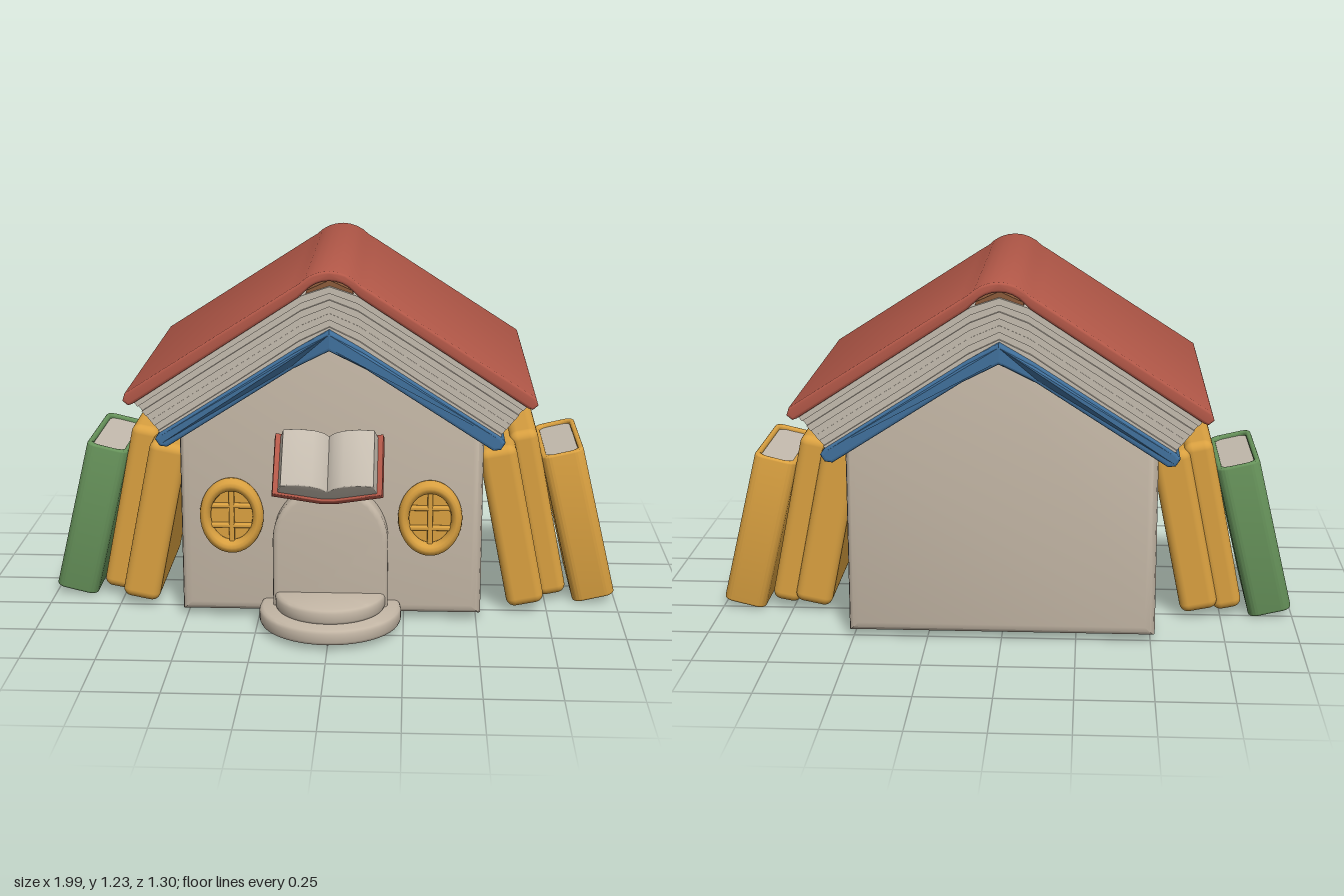
import * as THREE from 'three';
import { toCreasedNormals } from 'three/addons/utils/BufferGeometryUtils.js';
import { RoundedBoxGeometry } from 'three/addons/geometries/RoundedBoxGeometry.js';

const COLORS = {
  plaster: 0xc2b5a4, paper: 0xc4bbae, roofRed: 0xb35848, coverBlue: 0x40709c,
  golden: 0xd9a040, coverGreen: 0x66925a, wood: 0x8a5a3a,
};

export function createModel() {
  const root = new THREE.Group();
  root.name = 'bookHouse';
  const M = {};
  for (const [name, hex] of Object.entries(COLORS)) {
    M[name] = new THREE.MeshStandardMaterial({ color: hex });
    M[name].name = name;
  }

  const add = (name, geometry, material, parent = root) => {
    const mesh = new THREE.Mesh(geometry, material);
    mesh.name = name;
    parent.add(mesh);
    return mesh;
  };
  const poly = (pts) => new THREE.Shape(pts.map(([x, y]) => new THREE.Vector2(x, y)));
  // Extrude a shape from z0 to z1 with softened edges that stay inside the outline
  const slab = (shape, z0, z1, bevel = 0) => {
    const g = new THREE.ExtrudeGeometry(shape, {
      depth: z1 - z0 - 2 * bevel, bevelEnabled: bevel > 0, bevelSize: bevel,
      bevelThickness: bevel, bevelOffset: -bevel, bevelSegments: 3, curveSegments: 20,
    });
    g.translate(0, 0, z0 + bevel);
    return toCreasedNormals(g, 0.7);
  };
  // Complete a right-hand half outline (listed bottom to top) with its mirror image
  const mirrored = (right) => [
    ...right, ...right.filter(([x]) => x > 0).reverse().map(([x, y]) => [-x, y]),
  ];
  const arch = (Type, w, y0, yc) => {
    const s = new Type();
    s.moveTo(-w, y0);
    s.lineTo(w, y0);
    s.lineTo(w, yc);
    s.absarc(0, yc, w, 0, Math.PI, false);
    s.lineTo(-w, y0);
    return s;
  };
  const roundRect = (Type, w, h, r) => {
    const s = new Type(), x = w / 2, y = h / 2;
    s.moveTo(-x + r, -y);
    s.lineTo(x - r, -y);
    s.absarc(x - r, -y + r, r, -Math.PI / 2, 0, false);
    s.lineTo(x, y - r);
    s.absarc(x - r, y - r, r, 0, Math.PI / 2, false);
    s.lineTo(-x + r, y);
    s.absarc(-x + r, y - r, r, Math.PI / 2, Math.PI, false);
    s.lineTo(-x, -y + r);
    s.absarc(-x + r, -y + r, r, Math.PI, Math.PI * 1.5, false);
    return s;
  };

  // House walls
  add('houseWalls', slab(poly([[-0.515, 0.025], [0.515, 0.025], [0.515, 0.7], [0, 1.02], [-0.515, 0.7]]),
    -0.53, 0.36, 0.035), M.plaster);

  // Roof: red outer cover with a rounded spine
  const spine = (r, yc, from) => Array.from({ length: 9 }, (_, i) => {
    const a = from + (Math.PI - 2 * from) * i / 8;
    return [r * Math.cos(a), yc + r * Math.sin(a)];
  });
  const outer = [[0.665, 0.785], [0.683, 0.8], [0.675, 0.825], [0.13, 1.175], ...spine(0.135, 1.102, 0.75),
    [-0.13, 1.175], [-0.675, 0.825], [-0.683, 0.8], [-0.665, 0.785]];
  const inner = [[-0.65, 0.79], [-0.1, 1.15], ...spine(0.105, 1.1, 0.75).reverse(), [0.1, 1.15], [0.65, 0.79]];
  add('roofCover', slab(poly([...outer, ...inner]), -0.63, 0.47, 0.008), M.roofRed);
  add('spineLining', slab(poly([[-0.09, 1.1], [0.09, 1.1], [0.075, 1.17], [0, 1.204], [-0.075, 1.17]]),
    -0.6, 0.44), M.wood);

  // Roof pages, stacked in layers of slightly different depth
  const low = [[0, 1.03], [0.1, 0.98], [0.3, 0.845], [0.555, 0.68]];
  const high = [[0, 1.185], [0.09, 1.155], [0.35, 0.99], [0.648, 0.795]];
  const mix = (t) => low.map(([x, y], i) => [x + (high[i][0] - x) * t, y + (high[i][1] - y) * t]);
  const layers = 7;
  for (const s of [-1, 1]) {
    for (let i = 0; i < layers; i++) {
      const inset = (i % 2) * 0.008 + (i % 3) * 0.003;
      const pts = [...mix(i / layers), ...mix((i + 1) / layers).reverse()].map(([x, y]) => [s * x, y]);
      add('roofPages', slab(poly(pts), -0.615 + inset, 0.455 - inset), M.paper);
    }
  }

  // Blue lower cover, its ridge pushed out at both ends
  const blue = slab(poly([[0, 0.978], [0.12, 0.912], [0.54, 0.642], [0.565, 0.645], [0.58, 0.668], [0.565, 0.69],
    [0.12, 0.975], [0, 1.045], [-0.12, 0.975], [-0.565, 0.69], [-0.58, 0.668], [-0.565, 0.645],
    [-0.54, 0.642], [-0.12, 0.912]]), -0.622, 0.462, 0.01);
  const p = blue.attributes.position;
  for (let i = 0; i < p.count; i++) {
    const push = 0.028 * Math.max(0, 1 - Math.abs(p.getX(i)) / 0.12);
    p.setZ(i, p.getZ(i) + Math.sign(p.getZ(i)) * push);
  }
  blue.computeVertexNormals();
  add('lowerCover', blue, M.coverBlue);

  // Doorway
  const frame = arch(THREE.Shape, 0.195, 0.03, 0.305);
  frame.holes.push(arch(THREE.Path, 0.127, 0.05, 0.3));
  add('doorFrame', slab(frame, 0.33, 0.43, 0.018), M.plaster);
  add('door', slab(arch(THREE.Shape, 0.13, 0.06, 0.3), 0.35, 0.368), M.wood);
  for (let i = 0; i < 5; i++) {
    const x0 = -0.125 + i * 0.05 + 0.003, x1 = x0 + 0.044;
    const top = (x) => 0.3 + Math.sqrt(Math.max(0, 0.127 ** 2 - x * x));
    const xm = (x0 + x1) / 2;
    add('doorPlank', slab(poly([[x0, 0.1], [x1, 0.1], [x1, top(x1)], [xm, top(xm)], [x0, top(x0)]]),
      0.36, 0.38 + (i % 2) * 0.004, 0.004), M.wood);
  }
  add('doorKnob', new THREE.SphereGeometry(0.024, 16, 12), M.wood).position.set(0.088, 0.235, 0.405);

  // Round steps
  const step = (name, r, y0, y1) => {
    const b = 0.014;
    const profile = [[0, y0], [r - b, y0], [r - b * 0.3, y0 + b * 0.3], [r, y0 + b], [r, y1 - b],
      [r - b * 0.3, y1 - b * 0.3], [r - b, y1], [0, y1]].map(([x, y]) => new THREE.Vector2(x, y));
    add(name, toCreasedNormals(new THREE.LatheGeometry(profile, 48), 0.9), M.plaster).position.z = 0.408;
  };
  step('lowerStep', 0.242, 0.02, 0.076);
  step('upperStep', 0.188, 0.07, 0.126);

  // Oval windows
  for (const s of [-1, 1]) {
    const win = new THREE.Group();
    win.name = 'window';
    win.position.set(s * 0.337, 0.38, 0.375);
    root.add(win);
    add('windowRim', new THREE.TorusGeometry(0.09, 0.019, 12, 40), M.golden, win).scale.set(1, 1.22, 1.5);
    const pane = add('windowPane', new THREE.CircleGeometry(0.09, 32), M.golden, win);
    pane.scale.y = 1.22;
    pane.position.z = -0.008;
    add('windowBar', new RoundedBoxGeometry(0.018, 0.22, 0.024, 2, 0.006), M.golden, win);
    for (const y of [-0.035, 0.035]) {
      add('windowBar', new RoundedBoxGeometry(0.17, 0.016, 0.022, 2, 0.006), M.golden, win).position.y = y;
    }
  }

  // Open book above the door, tilted up and forward
  const sign = new THREE.Group();
  sign.name = 'openBookSign';
  sign.position.set(0, 0.562, 0.482);
  sign.rotation.x = Math.PI / 4;
  root.add(sign);
  add('signCover', slab(poly([[0, 0], [0.03, 0.002], [0.182, 0.05], [0.178, 0.072], [0.02, 0.024],
    [-0.02, 0.024], [-0.178, 0.072], [-0.182, 0.05], [-0.03, 0.002]]), -0.115, 0.112, 0.004), M.roofRed, sign);
  add('signPages', slab(poly(mirrored([[0, 0.018], [0.02, 0.02], [0.162, 0.064], [0.15, 0.112], [0.1, 0.117],
    [0.05, 0.108], [0.018, 0.092], [0, 0.07]])), -0.106, 0.104, 0.003), M.paper, sign);

  // Books leaning on both side walls
  const place = (group, s, x, y, z, tilt) => {
    group.position.set(s * x, y, z);
    group.rotation.z = s * tilt;
    root.add(group);
  };
  for (const s of [-1, 1]) {
    const wide = new THREE.Group();
    wide.name = 'innerBook';
    add('bookCover', new RoundedBoxGeometry(0.13, 0.58, 0.575, 4, 0.03), M.golden, wide);
    if (s < 0) {
      add('bookUnderside', new THREE.BoxGeometry(0.06, 0.006, 0.42), M.roofRed, wide).position.y = -0.29;
    }
    place(wide, s, 0.62, 0.315, -0.008, 0.2);

    const thin = new THREE.Group();
    thin.name = 'middleBook';
    add('bookCover', new RoundedBoxGeometry(0.1, 0.612, 0.44, 4, 0.03), M.golden, thin);
    place(thin, s, 0.716, 0.33, -0.05, 0.2);

    // Outer book: wrap-around cover with pages sunk into the top
    const cover = s > 0 ? M.golden : M.coverGreen;
    const book = new THREE.Group();
    book.name = 'outerBook';
    const ring = roundRect(THREE.Shape, 0.15, 0.44, 0.035);
    ring.holes.push(roundRect(THREE.Path, 0.112, 0.396, 0.03));
    add('bookCover', slab(ring, -0.275, 0.275, 0.008), cover, book).rotation.x = -Math.PI / 2;
    add('bookBase', new THREE.BoxGeometry(0.125, 0.02, 0.41), cover, book).position.y = -0.264;
    add('bookPages', new THREE.BoxGeometry(0.118, 0.5, 0.402), M.paper, book).position.y = 0.012;
    place(book, s, 0.86, 0.286, -0.052, 0.235);
  }

  return root;
}
